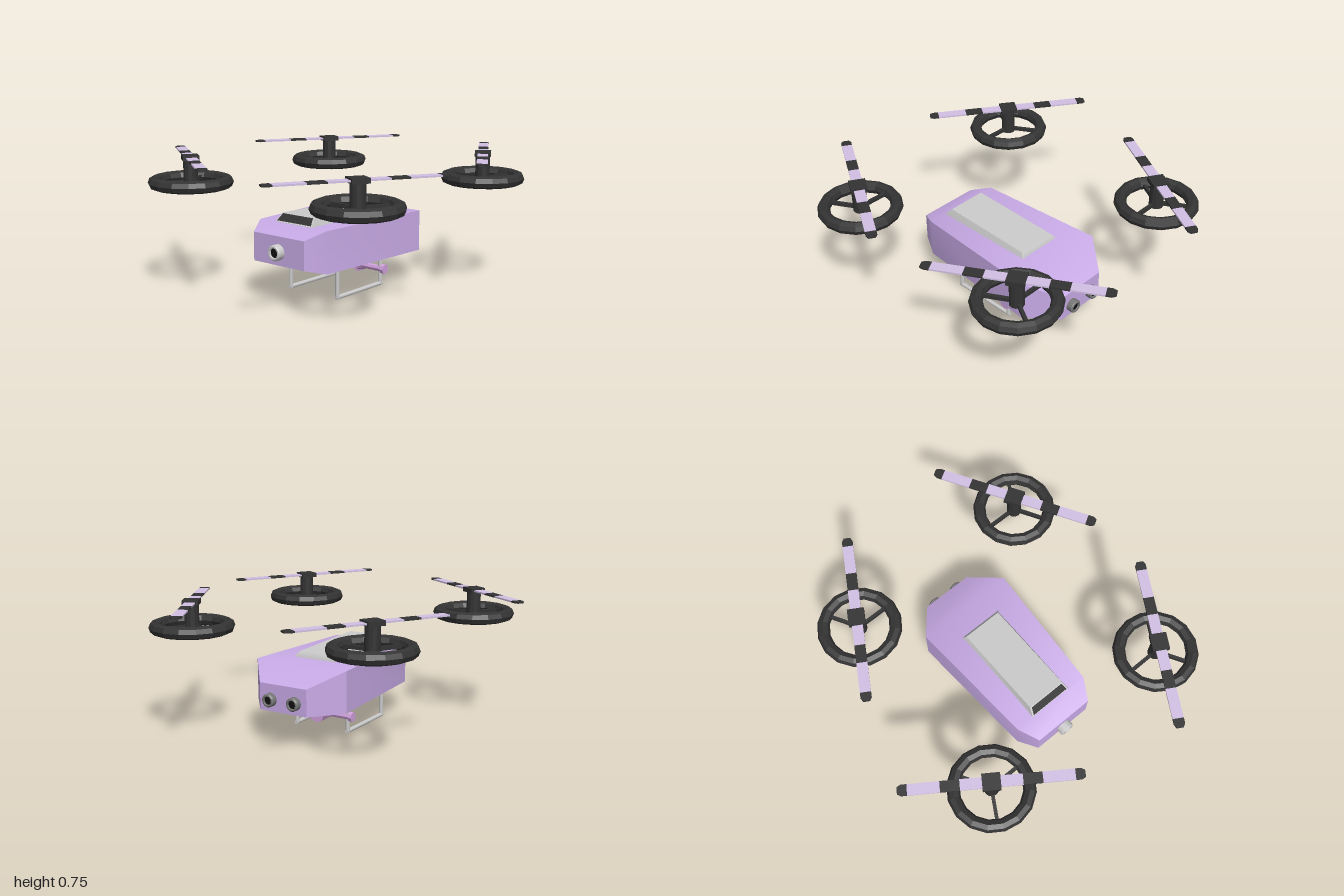
import * as THREE from 'three';
import { toCreasedNormals } from 'three/addons/utils/BufferGeometryUtils.js';

const mat = (color, flatShading = false) => new THREE.MeshStandardMaterial({ color, flatShading });
const grey = mat(0xcccccc);
const lilac = mat(0xc8aae6);
const paleLilac = mat(0xd2c0e4);
const pink = mat(0xd0a0dc, true);
const dark = mat(0x333333, true);
const black = mat(0x111111);

function add(parent, name, geometry, material, x = 0, y = 0, z = 0) {
  const mesh = new THREE.Mesh(geometry, material);
  mesh.name = name;
  mesh.position.set(x, y, z);
  parent.add(mesh);
  return mesh;
}

// Box-like hull through sections [z, bottom y, top y, bottom half width, top half width], back to front
function loft(sections) {
  const pos = [], idx = [];
  for (const [z, y0, y1, w0, w1] of sections) pos.push(-w0, y0, z, w0, y0, z, w1, y1, z, -w1, y1, z);
  const last = (sections.length - 1) * 4;
  for (let s = 0; s < last; s += 4) {
    for (let i = 0; i < 4; i++) {
      const j = (i + 1) % 4;
      idx.push(s + i, s + j, s + 4 + j, s + i, s + 4 + j, s + 4 + i);
    }
  }
  idx.push(0, 2, 1, 0, 3, 2, last, last + 1, last + 2, last, last + 2, last + 3);
  const g = new THREE.BufferGeometry();
  g.setAttribute('position', new THREE.Float32BufferAttribute(pos, 3));
  g.setIndex(idx);
  return toCreasedNormals(g, 0.6);
}

// Short round port whose open end faces +z
function port(name, r, depth, shell) {
  const g = new THREE.Group();
  g.name = name;
  const profile = [[r, -0.02], [r, depth - 0.006], [r - 0.006, depth], [r * 0.65, depth], [r * 0.6, depth - 0.012]];
  const ring = new THREE.LatheGeometry(profile.map(([a, b]) => new THREE.Vector2(a, b)), 20);
  const rim = add(g, 'portRing', toCreasedNormals(ring, 0.5), shell);
  rim.rotation.x = Math.PI / 2;
  add(g, 'portOpening', new THREE.CircleGeometry(r * 0.64, 20), black, 0, 0, depth - 0.01);
  return g;
}

// Striped half blade pieces: [inner radius, outer radius, material]
const stripes = [[0.03, 0.16, paleLilac], [0.16, 0.26, dark], [0.26, 0.425, paleLilac]];

function rotor(name, x, z, bladeAngle, spokeAngle) {
  const g = new THREE.Group();
  g.name = name;
  g.position.set(x, 0, z);

  // Ring, three spokes and mast
  const ring = add(g, 'rotorRing', new THREE.TorusGeometry(0.199, 0.035, 8, 16), dark, 0, 0.606, 0);
  ring.rotation.x = Math.PI / 2;
  for (let i = 0; i < 3; i++) {
    const a = spokeAngle + (i * Math.PI * 2) / 3;
    const spoke = add(g, 'spoke', new THREE.BoxGeometry(0.18, 0.02, 0.018), dark,
      Math.cos(a) * 0.09, 0.606, -Math.sin(a) * 0.09);
    spoke.rotation.y = a;
  }
  add(g, 'mast', new THREE.CylinderGeometry(0.04, 0.04, 0.145, 12), dark, 0, 0.66, 0);

  // Two-sided striped blade
  const blade = new THREE.Group();
  blade.name = 'blade';
  blade.position.y = 0.74;
  blade.rotation.y = bladeAngle;
  g.add(blade);
  add(blade, 'bladeHub', new THREE.BoxGeometry(0.095, 0.026, 0.09), dark);
  const tipShape = new THREE.Shape([[0.425, -0.029], [0.455, -0.029], [0.475, -0.018], [0.475, 0.018],
    [0.455, 0.029], [0.425, 0.029]].map(([a, b]) => new THREE.Vector2(a, b)));
  for (const turn of [0, Math.PI]) {
    const half = new THREE.Group();
    half.name = 'halfBlade';
    half.rotation.y = turn;
    blade.add(half);
    for (const [a, b, m] of stripes) {
      add(half, 'bladeStripe', new THREE.BoxGeometry(b - a, 0.009, 0.058), m, (a + b) / 2, 0, 0);
    }
    const tip = new THREE.ExtrudeGeometry(tipShape, { depth: 0.009, bevelEnabled: false });
    add(half, 'bladeTip', tip.rotateX(-Math.PI / 2), dark, 0, -0.0045, 0);
  }
  return g;
}

export function createModel() {
  const model = new THREE.Group();
  model.name = 'quadRotorCraft';
  const craft = new THREE.Group();
  craft.name = 'fuselage';
  craft.position.x = 0.077;
  model.add(craft);

  // Hull and canopy
  add(craft, 'hull', loft([
    [-0.525, 0.185, 0.335, 0.148, 0.148],
    [-0.355, 0.185, 0.415, 0.287, 0.287],
    [0.395, 0.185, 0.415, 0.238, 0.238],
    [0.508, 0.215, 0.372, 0.178, 0.178],
  ]), lilac);
  add(craft, 'canopy', loft([
    [-0.217, 0.4, 0.418, 0.133, 0.133],
    [-0.2, 0.4, 0.443, 0.133, 0.115],
    [0.35, 0.4, 0.46, 0.133, 0.115],
    [0.39, 0.4, 0.416, 0.133, 0.13],
  ]), grey);

  // Dark windscreen on the sloping canopy front
  const screen = new THREE.BufferGeometry();
  screen.setAttribute('position', new THREE.Float32BufferAttribute(
    [-0.12, 0.422, 0.388, 0.12, 0.422, 0.388, 0.107, 0.458, 0.355, -0.107, 0.458, 0.355], 3));
  screen.setIndex([0, 1, 2, 0, 2, 3]);
  screen.computeVertexNormals();
  add(craft, 'windscreen', screen, dark);

  // Nose camera and twin rear exhausts
  const camera = port('noseCamera', 0.043, 0.04, grey);
  camera.position.set(0, 0.288, 0.508);
  craft.add(camera);
  for (const s of [-1, 1]) {
    const exhaust = port('exhaust', 0.037, 0.038, mat(0x777777));
    exhaust.position.set(s * 0.077, 0.25, -0.523);
    exhaust.rotation.y = Math.PI;
    craft.add(exhaust);
  }

  // Landing skids
  for (const s of [-1, 1]) {
    const x = s * 0.169;
    for (const z of [0.23, -0.147]) {
      add(craft, 'skidPost', new THREE.CylinderGeometry(0.012, 0.012, 0.19, 10), grey, x, 0.1, z);
    }
    const runner = add(craft, 'skidRunner', new THREE.CylinderGeometry(0.012, 0.012, 0.4, 10), grey, x, 0.012, 0.041);
    runner.rotation.x = Math.PI / 2;
  }

  // Cross bar between the rear posts with end caps and a central hub
  const bar = add(craft, 'crossBar', new THREE.CylinderGeometry(0.018, 0.018, 0.4, 8), pink, 0, 0.098, -0.147);
  bar.rotation.z = Math.PI / 2;
  for (const s of [-1, 1]) {
    const cap = add(craft, 'barCap', new THREE.CylinderGeometry(0.028, 0.028, 0.022, 8), pink, s * 0.194, 0.098, -0.147);
    cap.rotation.z = Math.PI / 2;
    const cone = add(craft, 'hubCone', new THREE.CylinderGeometry(0.018, 0.034, 0.05, 8), pink, s * 0.04, 0.098, -0.155);
    cone.rotation.z = -s * Math.PI / 2;
  }
  const hub = add(craft, 'barHub', new THREE.CylinderGeometry(0.048, 0.048, 0.05, 8), pink, 0, 0.098, -0.18);
  hub.rotation.x = Math.PI / 2;

  // Four separate rotors around the hull
  model.add(
    rotor('backRightRotor', -0.487, -0.565, 1.036, 0),
    rotor('backLeftRotor', 0.63, -0.582, -1.036, Math.PI),
    rotor('frontRightRotor', -0.505, 0.582, -0.6, 0),
    rotor('frontLeftRotor', 0.656, 0.572, 1.045, Math.PI),
  );
  return model;
}
